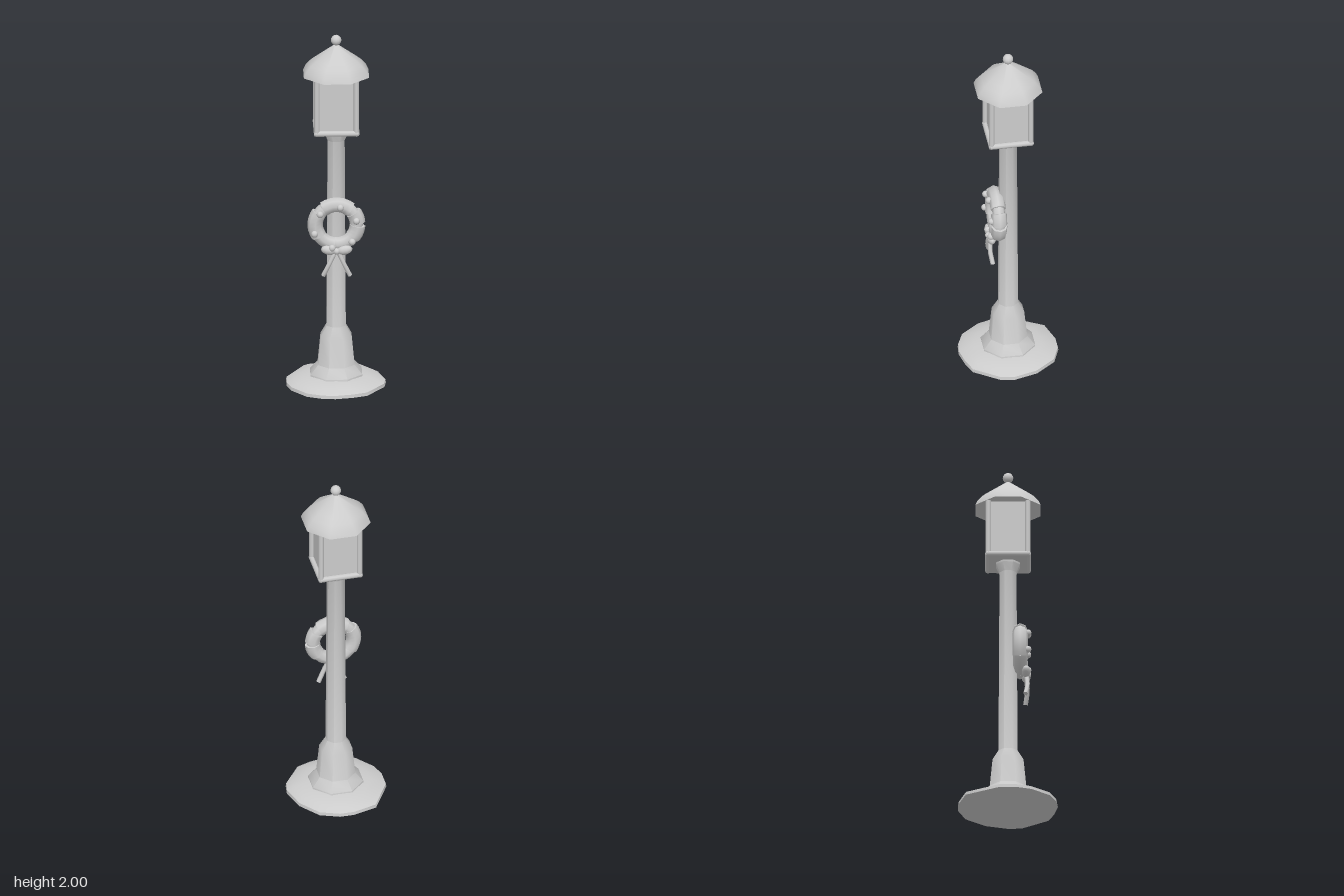
import * as THREE from 'three';
import { toCreasedNormals } from 'three/addons/utils/BufferGeometryUtils.js';

const grey = new THREE.MeshStandardMaterial({ color: 0xcccccc });
grey.name = 'plain grey';

function add(parent, name, geometry, x = 0, y = 0, z = 0) {
  const mesh = new THREE.Mesh(geometry, grey);
  mesh.name = name;
  mesh.position.set(x, y, z);
  parent.add(mesh);
  return mesh;
}

// Eight-sided turned part; the profile gives the distance to the flats, bottom to top
function octagonal(profile, crease = 0.85) {
  const k = 1 / Math.cos(Math.PI / 8);
  const points = profile.map(([r, y]) => new THREE.Vector2(r * k, y));
  return toCreasedNormals(new THREE.LatheGeometry(points, 8, Math.PI / 8), crease);
}

// Irregular low mound, built from shrinking copies of its outline
function moundGeometry() {
  const outline = [
    [0.27, 0.01], [0.26, 0.08], [0.163, 0.22], [0.085, 0.25], [-0.01, 0.27],
    [-0.08, 0.263], [-0.165, 0.227], [-0.245, 0.127], [-0.27, 0.05], [-0.27, -0.05],
    [-0.17, -0.23], [-0.04, -0.27], [0.04, -0.27], [0.145, -0.23], [0.232, -0.12],
  ];
  const rings = [[0, 0], [1, 0], [0.99, 0.018], [0.86, 0.036], [0.68, 0.05], [0.45, 0.06], [0, 0.06]];
  const n = outline.length, positions = [], index = [];
  for (const [s, y] of rings) for (const [x, z] of outline) positions.push(x * s, y, z * s);
  for (let r = 0; r < rings.length - 1; r++) {
    for (let i = 0; i < n; i++) {
      const a = r * n + i, b = r * n + (i + 1) % n, c = a + n, d = b + n;
      if (r > 0) index.push(a, d, b);
      if (r < rings.length - 2) index.push(a, c, d);
    }
  }
  const g = new THREE.BufferGeometry();
  g.setAttribute('position', new THREE.Float32BufferAttribute(positions, 3));
  g.setIndex(index);
  return toCreasedNormals(g, 0.8);
}

// Closed arc of the wreath, in degrees
function wreathArc(from, to, radius, tube) {
  const ring = [];
  const steps = 4;
  for (let i = 0; i <= steps; i++) {
    const a = THREE.MathUtils.degToRad(from + (to - from) * i / steps);
    ring.push(new THREE.Vector3(Math.cos(a) * radius, Math.sin(a) * radius, 0));
  }
  return rod(ring, tube, 8, 6);
}

// Tube through points with both ends capped
function rod(points, radius, sides, steps) {
  const g = new THREE.TubeGeometry(new THREE.CatmullRomCurve3(points), steps, radius, sides);
  const pos = Array.from(g.attributes.position.array), index = Array.from(g.index.array);
  const first = pos.length / 3, last = first - sides - 1;
  for (const p of [points[0], points[points.length - 1]]) pos.push(p.x, p.y, p.z);
  for (let i = 0; i < sides; i++) {
    index.push(first, i, i + 1);
    index.push(first + 1, last + i + 1, last + i);
  }
  const capped = new THREE.BufferGeometry();
  capped.setAttribute('position', new THREE.Float32BufferAttribute(pos, 3));
  capped.setIndex(index);
  return toCreasedNormals(capped, 1.1);
}

export function createModel() {
  const model = new THREE.Group();
  model.name = 'lampPost';

  add(model, 'snowMound', moundGeometry());
  add(model, 'post', octagonal([
    [0.14, 0.03], [0.14, 0.065], [0.099, 0.115], [0.084, 0.275], [0.052, 0.335],
    [0.046, 1.4], [0.064, 1.445], [0.064, 1.46],
  ]));

  // Lantern
  const lantern = new THREE.Group();
  lantern.name = 'lantern';
  model.add(lantern);
  add(lantern, 'lanternFloor', new THREE.BoxGeometry(0.22, 0.024, 0.22), 0, 1.468, 0);
  add(lantern, 'lanternGlass', new THREE.BoxGeometry(0.2, 0.31, 0.2), 0, 1.63, 0);
  for (let i = 0; i < 4; i++) {
    const side = new THREE.Group();
    side.name = 'lanternSide';
    side.rotation.y = i * Math.PI / 2;
    lantern.add(side);
    add(side, 'cornerBar', new THREE.CylinderGeometry(0.015, 0.015, 0.31, 8), 0.107, 1.63, 0.107);
    add(side, 'bottomRail', new THREE.CylinderGeometry(0.016, 0.016, 0.23, 8), 0, 1.47, 0.108).rotation.z = Math.PI / 2;
    add(side, 'railCorner', new THREE.SphereGeometry(0.016, 8, 6), 0.108, 1.47, 0.108);
  }
  add(lantern, 'roof', octagonal([
    [0, 1.79], [0.165, 1.785], [0.177, 1.778], [0.165, 1.806], [0.14, 1.838], [0.11, 1.864], [0.012, 1.943], [0, 1.945],
  ]));
  add(lantern, 'finial', new THREE.SphereGeometry(0.029, 12, 8), 0, 1.971, 0);

  // Wreath of overlapping pieces on the front of the post
  const wreath = new THREE.Group();
  wreath.name = 'wreath';
  wreath.position.set(0, 0.935, 0.066);
  model.add(wreath);
  const arcs = [
    [48, 128, 0.112, 0.042], [128, 160, 0.11, 0.036], [145, 215, 0.116, 0.042],
    [212, 268, 0.113, 0.038], [262, 328, 0.113, 0.038], [320, 357, 0.114, 0.043],
    [4, 36, 0.114, 0.043], [-6, 52, 0.11, 0.034],
  ];
  for (const [from, to, radius, tube] of arcs) add(wreath, 'wreathPiece', wreathArc(from, to, radius, tube));

  const berries = [[-0.09, 1.005], [0.02, 1.043], [0.107, 0.965], [-0.12, 0.893], [0.083, 0.846], [-0.025, 0.812]];
  for (const [x, y] of berries) add(model, 'berry', new THREE.SphereGeometry(0.019, 10, 8), x, y, 0.108);

  // Bow with two loops and two tails
  for (const s of [-1, 1]) {
    const loop = add(model, 'bowLoop', new THREE.SphereGeometry(1, 10, 8), s * 0.043, 0.797, 0.098);
    loop.scale.set(0.043, 0.026, 0.024);
    loop.rotation.z = s * 0.2;
    add(model, 'bowTail', rod([
      new THREE.Vector3(s * 0.01, 0.785, 0.1),
      new THREE.Vector3(s * 0.042, 0.715, 0.105),
      new THREE.Vector3(s * 0.073, 0.65, 0.095),
    ], 0.013, 6, 5));
  }
  add(model, 'bowKnot', new THREE.SphereGeometry(0.018, 10, 8), 0, 0.793, 0.108);

  return model;
}
